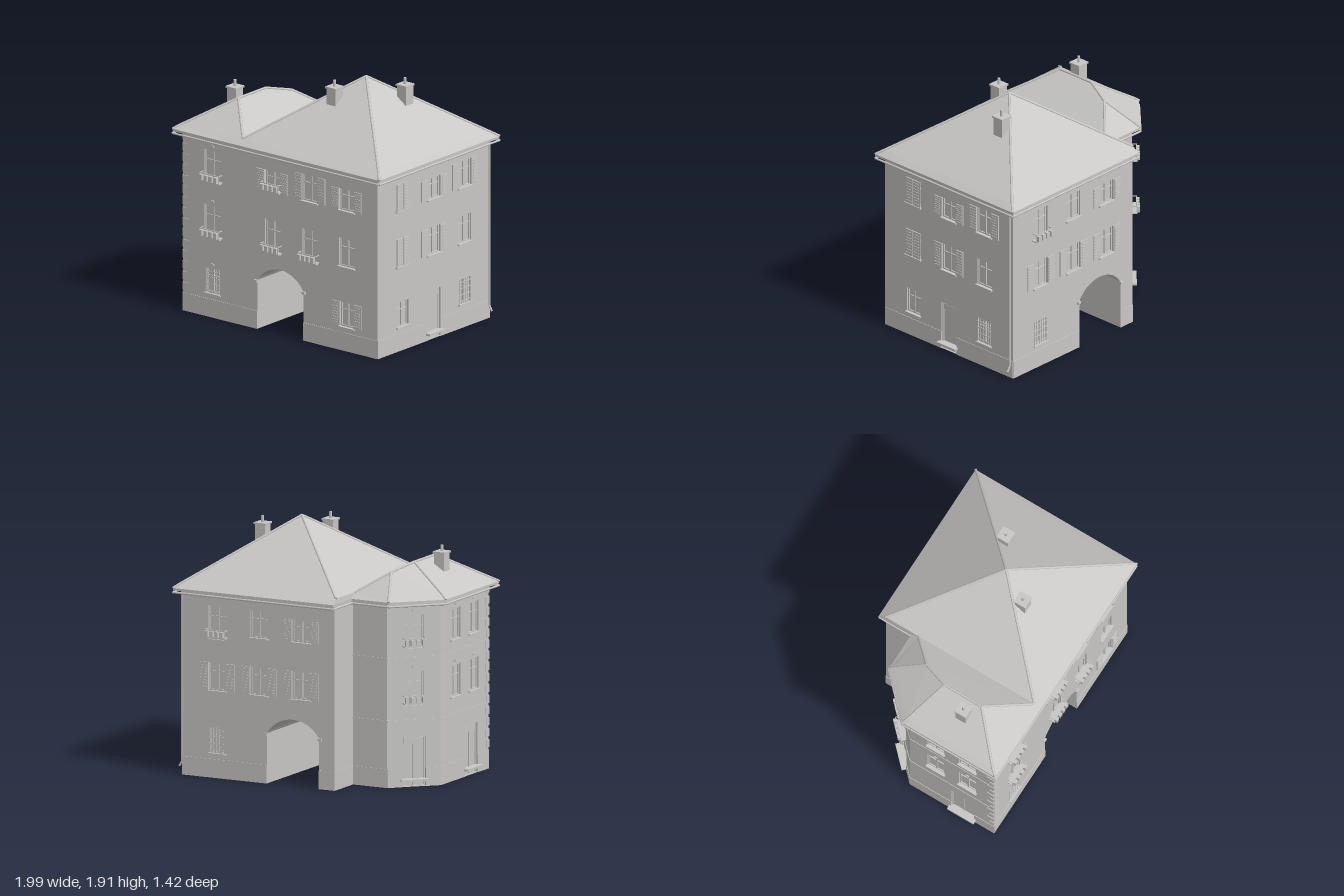
import * as THREE from 'three';

const plaster = new THREE.MeshStandardMaterial({ color: 0xc8c7c5, side: THREE.DoubleSide });

function add(parent, name, geo, x = 0, y = 0, z = 0) {
  const m = new THREE.Mesh(geo, plaster);
  m.name = name;
  m.position.set(x, y, z);
  parent.add(m);
  return m;
}
const box = (p, name, w, h, d, x, y, z) => add(p, name, new THREE.BoxGeometry(w, h, d), x, y, z);

// Flat polygons given as corner loops, split into triangle fans
function facets(polys) {
  const pos = [];
  for (const p of polys)
    for (let i = 1; i < p.length - 1; i++) pos.push(...p[0], ...p[i], ...p[i + 1]);
  const g = new THREE.BufferGeometry();
  g.setAttribute('position', new THREE.Float32BufferAttribute(pos, 3));
  g.computeVertexNormals();
  return g;
}

// Round rod between two points
function rod(p, name, a, b, r) {
  const A = new THREE.Vector3(...a), B = new THREE.Vector3(...b);
  const m = add(p, name, new THREE.CylinderGeometry(r, r, A.distanceTo(B), 8));
  m.position.copy(A).add(B).multiplyScalar(0.5);
  m.quaternion.setFromUnitVectors(new THREE.Vector3(0, 1, 0), B.sub(A).normalize());
}

const TOP = 1.39, ARCH = { w: 0.22, cy: 0.24, r: 0.26, a: Math.atan2(0.1386, 0.22) };

function archPoints() {
  const pts = [[-ARCH.w, 0]];
  for (let i = 0; i <= 20; i++) {
    const t = Math.PI - ARCH.a - (i / 20) * (Math.PI - 2 * ARCH.a);
    pts.push([Math.cos(t) * ARCH.r, ARCH.cy + Math.sin(t) * ARCH.r]);
  }
  pts.push([ARCH.w, 0]);
  return pts;
}

function shutter(p, x, y0, y1, w) {
  const h = y1 - y0;
  box(p, 'shutter', w, h, 0.008, x, y0 + h / 2, 0.006);
  for (let i = 1; i < 9; i++) box(p, 'shutterSlat', w * 0.75, 0.008, 0.004, x, y0 + (h * i) / 9, 0.012);
}

function balcony(p, u, y0, w) {
  const W = w + 0.025, y = y0 + 0.02;
  box(p, 'balconyFloor', W, 0.01, 0.045, u, y, 0.022);
  box(p, 'balconyRail', W, 0.006, 0.006, u, y + 0.058, 0.042);
  for (const s of [-1, 1]) box(p, 'balconySideRail', 0.006, 0.006, 0.042, u + s * (W / 2 - 0.003), y + 0.058, 0.021);
  for (let i = 0; i <= 12; i++) box(p, 'baluster', 0.004, 0.058, 0.004, u - W / 2 + 0.003 + ((W - 0.006) * i) / 12, y + 0.029, 0.042);
  for (let i = 0; i < 4; i++) box(p, 'flowerBox', W / 6, 0.045, 0.025, u + (i - 1.5) * W * 0.25, y + 0.028, 0.05);
}

// One opening: kind is any mix of shutters, closed, balcony, bars, door, ornament
function opening(p, { u, y0, y1, w, kind = '' }) {
  const h = y1 - y0, cy = (y0 + y1) / 2, z = -0.018, has = k => kind.includes(k);
  box(p, has('door') ? 'doorLeaf' : 'windowPane', w, h, 0.006, u, cy, z - 0.006);
  for (const s of [-1, 1]) {
    box(p, 'frameSide', 0.01, h, 0.012, u + s * (w / 2 - 0.005), cy, z);
    box(p, 'frameRail', w, 0.01, 0.012, u, cy + s * (h / 2 - 0.005), z);
  }
  if (has('door')) {
    box(p, 'transomPanel', w * 0.85, 0.045, 0.008, u, y1 - 0.035, z);
    if (w > 0.17) box(p, 'doorMeeting', 0.01, h, 0.01, u, cy, z);
    box(p, 'doorStep', w + 0.03, 0.016, 0.06, u, 0.052, 0.01);
  } else {
    box(p, 'mullion', 0.012, h, 0.012, u, cy, z);
    box(p, 'crossbar', w, 0.007, 0.01, u, y0 + h * 0.68, z);
    if (!has('balcony')) box(p, 'sill', w + 0.015, 0.01, 0.022, u, y0 - 0.003, 0.006);
  }
  if (has('shutters')) for (const s of [-1, 1]) shutter(p, u + s * (w / 2 + 0.037), y0 + 0.004, y1 - 0.004, 0.072);
  if (has('closed')) for (const s of [-1, 1]) shutter(p, u + s * w / 4, y0, y1, w / 2 - 0.004);
  if (has('balcony')) balcony(p, u, y0, w);
  if (has('bars')) {
    for (let i = 0; i < 6; i++) box(p, 'windowBar', 0.005, h, 0.005, u + (i / 5 - 0.5) * w * 0.92, cy, 0.002);
    for (let i = 0; i < 4; i++) box(p, 'windowCrossBar', w, 0.005, 0.005, u, y0 + h * (i + 0.5) / 4, 0.004);
  }
  if (has('ornament')) box(p, 'keystone', 0.03, 0.014, 0.008, u, y1 + 0.03, 0.004);
}

// Wall panel: local x along the wall, local z outward
function wall(parent, name, x, z, angle, u0, u1, openings = [], arch = false) {
  const g = new THREE.Group();
  g.name = name;
  g.position.set(x, 0, z);
  g.rotation.y = angle;
  parent.add(g);
  const s = new THREE.Shape();
  s.moveTo(u0, 0);
  if (arch) archPoints().forEach(p => s.lineTo(...p));
  s.lineTo(u1, 0).lineTo(u1, TOP).lineTo(u0, TOP);
  for (const o of openings) {
    const hole = new THREE.Path(), a = o.u - o.w / 2, b = o.u + o.w / 2, y0 = Math.max(o.y0, 0.004);
    hole.moveTo(a, y0).lineTo(a, o.y1).lineTo(b, o.y1).lineTo(b, y0).closePath();
    s.holes.push(hole);
    opening(g, o);
  }
  add(g, 'wallPanel', new THREE.ExtrudeGeometry(s, { depth: 0.024, bevelEnabled: false }), 0, 0, -0.024);
  // Plinth, interrupted by doors and the archway
  const gaps = openings.filter(o => o.y0 === 0).map(o => [o.u - o.w / 2, o.u + o.w / 2]);
  if (arch) gaps.push([-ARCH.w, ARCH.w]);
  let from = u0;
  for (const [a, b] of [...gaps, [u1, u1]]) {
    if (a > from) box(g, 'plinth', a - from, 0.14, 0.004, (a + from) / 2, 0.07, 0.002);
    from = b;
  }
  if (arch) for (const q of [-1, 1]) box(g, 'archImpost', 0.03, 0.02, 0.02, q * 0.23, 0.37, 0.004);
  return g;
}

export function createModel() {
  const model = new THREE.Group();
  model.name = 'house';
  const W = (u, y0, y1, kind, w = 0.148) => ({ u, y0, y1, w, kind });
  const H = Math.PI / 2;

  // Walls and openings
  const front = wall(model, 'frontWall', 0, 0.65, 0, -0.93, 0.93, [
    W(-0.645, 1.04, 1.295, 'balcony ornament', 0.16), W(-0.07, 1.085, 1.255, 'shutters balcony'),
    W(0.285, 1.085, 1.295, 'shutters'), W(0.637, 1.085, 1.255, 'shutters'),
    W(-0.645, 0.61, 0.87, 'balcony ornament', 0.16), W(-0.07, 0.61, 0.87, 'balcony'),
    W(0.285, 0.61, 0.87, 'balcony'), W(0.637, 0.65, 0.87, ''),
    W(-0.645, 0.185, 0.38, 'bars ornament', 0.14), W(0.637, 0.185, 0.38, 'shutters', 0.135)], true);
  wall(model, 'rightWall', 0.93, 0, H, -0.65, 0.65, [
    W(-0.36, 1.085, 1.295, 'closed'), W(0, 1.085, 1.25, 'shutters'), W(0.36, 1.085, 1.295, 'shutters'),
    W(-0.36, 0.655, 0.87, 'closed'), W(0, 0.655, 0.87, 'shutters'), W(0.36, 0.655, 0.87, ''),
    W(-0.36, 0.185, 0.38, '', 0.135), W(0, 0, 0.38, 'door', 0.155), W(0.36, 0.185, 0.38, 'bars', 0.135)]);
  wall(model, 'backWall', 0, -0.65, Math.PI, -0.93, 0.35, [
    W(-0.637, 1.04, 1.295, 'balcony'), W(-0.285, 1.085, 1.295, ''), W(0.07, 1.085, 1.255, 'shutters'),
    W(-0.637, 0.655, 0.87, 'shutters'), W(-0.285, 0.655, 0.87, 'shutters'), W(0.07, 0.655, 0.87, 'shutters'),
    W(-0.637, 0.185, 0.38, 'bars', 0.135)], true);
  wall(model, 'returnWall', -0.35, 0, -H, -0.65, -0.37);
  const wing = [
    wall(model, 'wingBackWall', 0, -0.37, Math.PI, 0.35, 0.64),
    wall(model, 'wingCornerWall', -0.785, -0.225, -1.5 * H, -0.205, 0.205, [
      W(0, 1.04, 1.295, 'balcony ornament'), W(0, 0.61, 0.87, 'balcony ornament'), W(0, 0, 0.38, 'door', 0.18)]),
    wall(model, 'wingLeftWall', -0.93, 0, -H, -0.08, 0.65, [
      W(0.145, 1.06, 1.295, 'ornament'), W(0.42, 1.06, 1.295, 'ornament'),
      W(0.145, 0.63, 0.87, 'ornament'), W(0.42, 0.63, 0.87, 'ornament'), W(0.38, 0, 0.38, 'door', 0.2)])];

  // String courses on the wing
  [[0.29, 0.495], [0.41, 0], [0.73, 0.285]].forEach(([len, mid], i) => {
    for (const y of [0.5, 0.97]) box(wing[i], 'stringCourse', len, 0.012, 0.006, mid, y, 0.001);
  });

  // Corner quoins
  for (let i = 0; i < 15; i++) {
    const l = i % 2 ? 0.035 : 0.06, y = 0.19 + i * 0.083;
    box(front, 'quoin', l, 0.06, 0.005, -0.93 + l / 2, y, 0.001);
    box(wing[2], 'quoin', 0.095 - l, 0.06, 0.008, 0.65 - (0.095 - l) / 2, y, 0.002);
  }

  // Vaulted passage
  const arc = archPoints(), pass = [];
  for (let i = 0; i < arc.length - 1; i++) {
    const [a, b] = [arc[i], arc[i + 1]];
    pass.push([[...a, 0.65], [...a, -0.65], [...b, -0.65], [...b, 0.65]]);
  }
  add(model, 'passage', facets(pass));

  // Eaves slab closing the attic
  const eave = [[-0.99, 0.7], [0.985, 0.7], [0.985, -0.7], [-0.365, -0.7], [-0.365, -0.42], [-0.68, -0.42], [-0.99, -0.11]];
  const slab = new THREE.ExtrudeGeometry(
    new THREE.Shape(eave.map(([x, z]) => new THREE.Vector2(x, -z))), { depth: 0.018, bevelEnabled: false });
  add(model, 'eaves', slab.rotateX(-H), 0, 1.387, 0);
  eave.forEach(([x, z], i) => {
    const [x2, z2] = eave[(i + 1) % eave.length];
    rod(model, 'gutter', [x, 1.372, z], [x2, 1.372, z2], 0.008);
  });

  // Roof corners: ridge points, bend line above the walls, outer eave
  const E = i => [eave[i][0], 1.405, eave[i][1]];
  const apex = [0.285, 1.9, 0], A = [-0.36, 1.445, 0.645], B = [0.94, 1.44, 0.65], C = [0.94, 1.44, -0.65], D = [-0.36, 1.445, -0.645];
  const P = [-0.64, 1.63, 0.36], Q = [-0.64, 1.63, 0.04], R = [-0.56, 1.58, -0.165];
  const F = [-0.95, 1.435, 0.65], G = [-0.95, 1.435, -0.09], K = [-0.66, 1.435, -0.38], I = [-0.36, 1.442, -0.36];
  const A2 = [-0.36, 1.405, 0.7];
  add(model, 'mainRoof', facets([[apex, A, B], [apex, B, C], [apex, C, D], [apex, D, A],
    [A, A2, E(1), B], [B, E(1), E(2), C], [C, E(2), E(3), D], [D, E(3), E(4), I]]));
  add(model, 'wingRoof', facets([[P, F, A], [Q, G, F, P], [R, K, G], [R, G, Q], [R, I, K], [R, Q, P, A, I],
    [F, E(0), A2, A], [G, E(6), E(0), F], [K, E(5), E(6), G], [I, E(4), E(5), K]]));
  for (const [a, b] of [[apex, A], [apex, B], [apex, C], [apex, D], [P, F], [P, A], [Q, G], [R, K], [R, I], [P, Q], [Q, R],
    [B, E(1)], [C, E(2)], [F, E(0)], [G, E(6)], [K, E(5)]]) rod(model, 'ridgeTiles', a, b, 0.01);

  // Snow guards along the eaves
  for (const [a, b] of [[F, B], [B, C], [C, D], [I, K], [K, G], [G, F]]) {
    const va = new THREE.Vector3(...a), vb = new THREE.Vector3(...b), n = Math.round(va.distanceTo(vb) / 0.083);
    const out = new THREE.Vector3().subVectors(vb, va).cross(new THREE.Vector3(0, 1, 0)).normalize().multiplyScalar(-0.022);
    for (let i = 0; i < n; i++) {
      const p = va.clone().lerp(vb, (i + 0.5) / n).add(out);
      const m = box(model, 'snowGuard', 0.022, 0.022, 0.022, p.x, 1.426, p.z);
      m.rotation.y = Math.atan2(out.x, out.z);
    }
  }

  // Chimneys
  for (const [x, z, y0, y1] of [[0.165, 0.22, 1.68, 1.84], [0.53, -0.155, 1.66, 1.84], [-0.745, 0.27, 1.53, 1.67]]) {
    box(model, 'chimney', 0.086, y1 - y0, 0.086, x, (y0 + y1) / 2, z);
    box(model, 'chimneyCap', 0.1, 0.014, 0.1, x, y1 + 0.005, z);
    add(model, 'chimneyPot', new THREE.CylinderGeometry(0.011, 0.011, 0.05, 12), x, y1 + 0.035, z);
  }

  // Downpipe with a kicked-out foot
  const pipe = [[0.945, 1.372, -0.63], [0.945, 0.1, -0.63], [0.968, 0.06, -0.63]];
  rod(model, 'downpipe', pipe[0], pipe[1], 0.008);
  rod(model, 'downpipeFoot', pipe[1], pipe[2], 0.008);
  return model;
}
